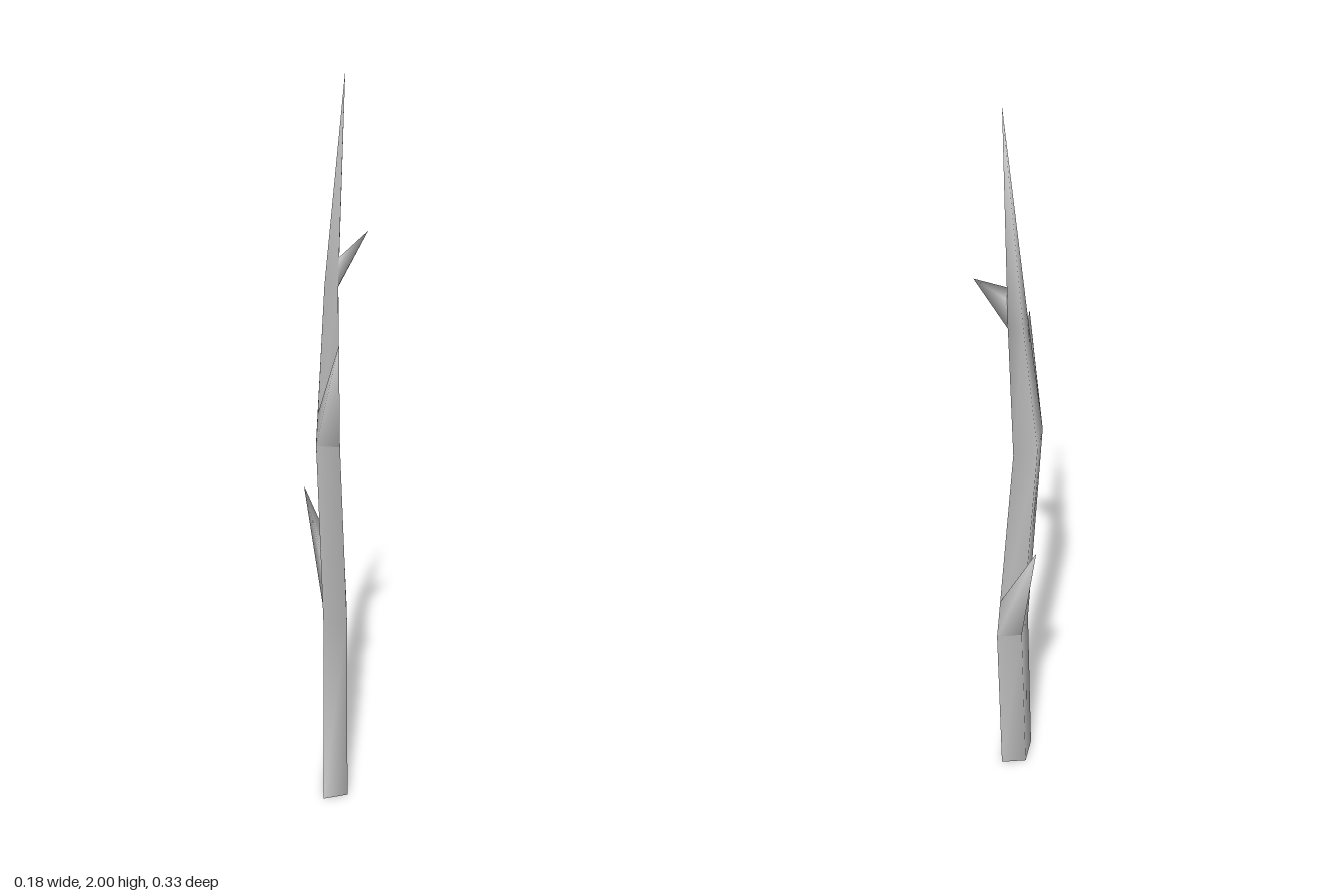
import * as THREE from 'three';

const material = new THREE.MeshStandardMaterial({ color: 0xcccccc });

// Smooth mesh from points and triangle indices
function smoothMesh(name, points, index) {
  const geometry = new THREE.BufferGeometry().setFromPoints(points);
  geometry.setIndex(index);
  geometry.computeVertexNormals();
  const mesh = new THREE.Mesh(geometry, material);
  mesh.name = name;
  return mesh;
}

// Four-cornered cross-section, counter-clockwise from above; tilt raises the front
const corners = [[0.04, 0.022], [0.021, -0.057], [-0.04, -0.022], [-0.021, 0.057]];
function ring({ x, y, z, sx, sz, tilt }) {
  return corners.map(([cx, cz]) =>
    new THREE.Vector3(x + cx * sx, y + cz * tilt, z + cz * sz));
}

const rings = [
  { x: 0.031, y: 0, z: -0.037, sx: 1, sz: 1, tilt: 0 },
  { x: 0.018, y: 0.53, z: -0.083, sx: 0.95, sz: 1, tilt: 0 },
  { x: 0.022, y: 1.07, z: 0.028, sx: 0.9, sz: 0.88, tilt: 0.3 },
  { x: 0.012, y: 1.47, z: -0.052, sx: 0.5, sz: 0.57, tilt: 0.15 },
].map(ring);
const top = new THREE.Vector3(0.043, 2, -0.06);

// Pointed twig growing from the trunk panel between corners i and i + 1
function twig(name, level, i, riseA, riseB, tip) {
  const j = (i + 1) % 4;
  const low = rings[level];
  const above = (k, t) => low[k].clone().lerp(rings[level + 1]?.[k] ?? top, t);
  const points = [low[i], low[j], above(j, riseB), above(i, riseA), new THREE.Vector3(...tip)];
  return smoothMesh(name, points, [0, 1, 4, 1, 2, 4, 2, 3, 4, 3, 0, 4]);
}

export function createModel() {
  const group = new THREE.Group();
  group.name = 'bareBranch';

  // Crooked trunk tapering to a point
  const index = [];
  for (let r = 0; r < rings.length; r++) {
    for (let i = 0; i < 4; i++) {
      const a = r * 4 + i, b = r * 4 + (i + 1) % 4;
      if (r < rings.length - 1) index.push(a, b, b + 4, a, b + 4, a + 4);
      else index.push(a, b, rings.length * 4);
    }
  }
  group.add(smoothMesh('trunk', [...rings.flat(), top], index));

  // Flat cut at the foot
  group.add(smoothMesh('trunkBase', rings[0], [0, 2, 1, 0, 3, 2]));

  // Side twigs
  group.add(twig('lowerTwig', 1, 1, 0.2, 0.36, [-0.09, 0.875, -0.165]));
  group.add(twig('middleTwig', 2, 3, 0.2, 0.33, [0.08, 1.38, 0.163]));
  group.add(twig('upperTwig', 3, 0, 0.14, 0.14, [0.09, 1.6, -0.127]));
  return group;
}
